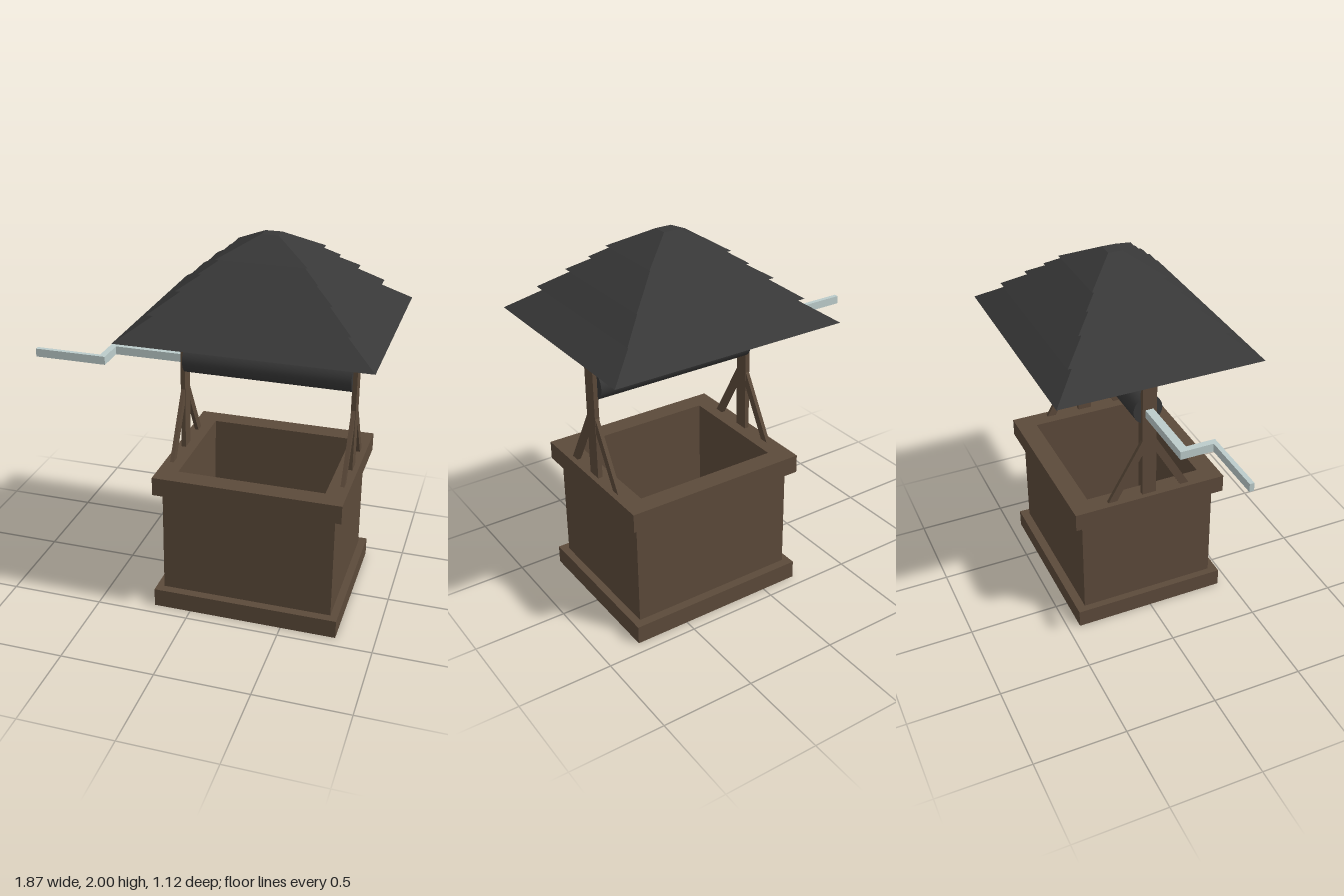
import * as THREE from 'three';

const CX = 0.297; // centre of the well along x

const wood = new THREE.MeshStandardMaterial({ name: 'brown wood', color: 0x5c4a3a });
const dark = new THREE.MeshStandardMaterial({ name: 'dark shingle', color: 0x383838 });
const metal = new THREE.MeshStandardMaterial({ name: 'pale metal', color: 0xbccccb });

export function createModel() {
  const well = new THREE.Group();
  well.name = 'well';

  const add = (name, geometry, material, x = 0, y = 0, z = 0) => {
    const mesh = new THREE.Mesh(geometry, material);
    mesh.name = name;
    mesh.position.set(x, y, z);
    well.add(mesh);
    return mesh;
  };

  // Box given by its limits on each axis
  const box = (name, material, x0, x1, y0, y1, z0, z1) =>
    add(name, new THREE.BoxGeometry(x1 - x0, y1 - y0, z1 - z0), material,
      (x0 + x1) / 2, (y0 + y1) / 2, (z0 + z1) / 2);

  const rectangle = (Type, hx, hz) => new Type([
    new THREE.Vector2(-hx, -hz), new THREE.Vector2(hx, -hz),
    new THREE.Vector2(hx, hz), new THREE.Vector2(-hx, hz)]);

  // Rectangular ring around the shaft opening
  const ring = (name, hx, hz, y0, y1) => {
    const shape = rectangle(THREE.Shape, hx, hz);
    shape.holes.push(rectangle(THREE.Path, 0.39, 0.325));
    const geometry = new THREE.ExtrudeGeometry(shape, { depth: y1 - y0, bevelEnabled: false });
    geometry.rotateX(-Math.PI / 2);
    add(name, geometry, wood, CX, y0, 0);
  };

  // Basin
  box('base', wood, CX - 0.498, CX + 0.498, 0, 0.1, -0.433, 0.433);
  ring('wall', 0.458, 0.385, 0.1, 0.68);
  ring('rim', 0.498, 0.433, 0.68, 0.78);

  // Posts with a diagonal brace on each side
  const braceShape = new THREE.Shape([
    new THREE.Vector2(0.185, 0.78), new THREE.Vector2(0.235, 0.78),
    new THREE.Vector2(0.03, 1.137), new THREE.Vector2(0.03, 1.05)]);
  const braceGeometry = new THREE.ExtrudeGeometry(braceShape, { depth: 0.02, bevelEnabled: false });
  braceGeometry.translate(0, 0, -0.01);
  for (const [side, s] of [['left', 1], ['right', -1]]) {
    const x = CX + s * 0.458;
    box(side + 'Post', wood, x - 0.0125, x + 0.0125, 0.78, 1.55, -0.04, 0.04);
    add(side + 'FrontBrace', braceGeometry, wood, x).rotation.y = -Math.PI / 2;
    add(side + 'BackBrace', braceGeometry, wood, x).rotation.y = Math.PI / 2;
  }

  // Winding drum
  const drum = new THREE.CylinderGeometry(0.081, 0.081, 0.895, 32);
  drum.rotateZ(Math.PI / 2);
  add('drum', drum, dark, CX, 1.294, 0);

  // Crank
  box('crankAxle', metal, -0.58, -0.17, 1.266, 1.311, -0.025, 0.02);
  box('crankArm', metal, -0.58, -0.545, 1.266, 1.311, 0.02, 0.178);
  box('crankHandle', metal, -0.94, -0.58, 1.266, 1.311, 0.153, 0.178);

  // Roof tiers: [y0, y1, bottom half x, bottom half z, top half x, top half z]
  const tiers = [
    [1.55, 1.67, 0.637, 0.56, 0.46, 0.4],
    [1.67, 1.77, 0.5, 0.445, 0.357, 0.308],
    [1.77, 1.84, 0.387, 0.343, 0.277, 0.24],
    [1.84, 1.9, 0.297, 0.265, 0.207, 0.18],
    [1.9, 2, 0.23, 0.205, 0.043, 0.038],
  ];
  tiers.forEach(([y0, y1, bx, bz, tx, tz], i) => {
    const geometry = new THREE.BoxGeometry(2, y1 - y0, 2);
    const p = geometry.attributes.position;
    for (let k = 0; k < p.count; k++) {
      const top = p.getY(k) > 0;
      p.setX(k, p.getX(k) * (top ? tx : bx));
      p.setZ(k, p.getZ(k) * (top ? tz : bz));
    }
    geometry.computeVertexNormals();
    add('roofTier' + (i + 1), geometry, dark, CX, (y0 + y1) / 2, 0);
  });

  return well;
}
